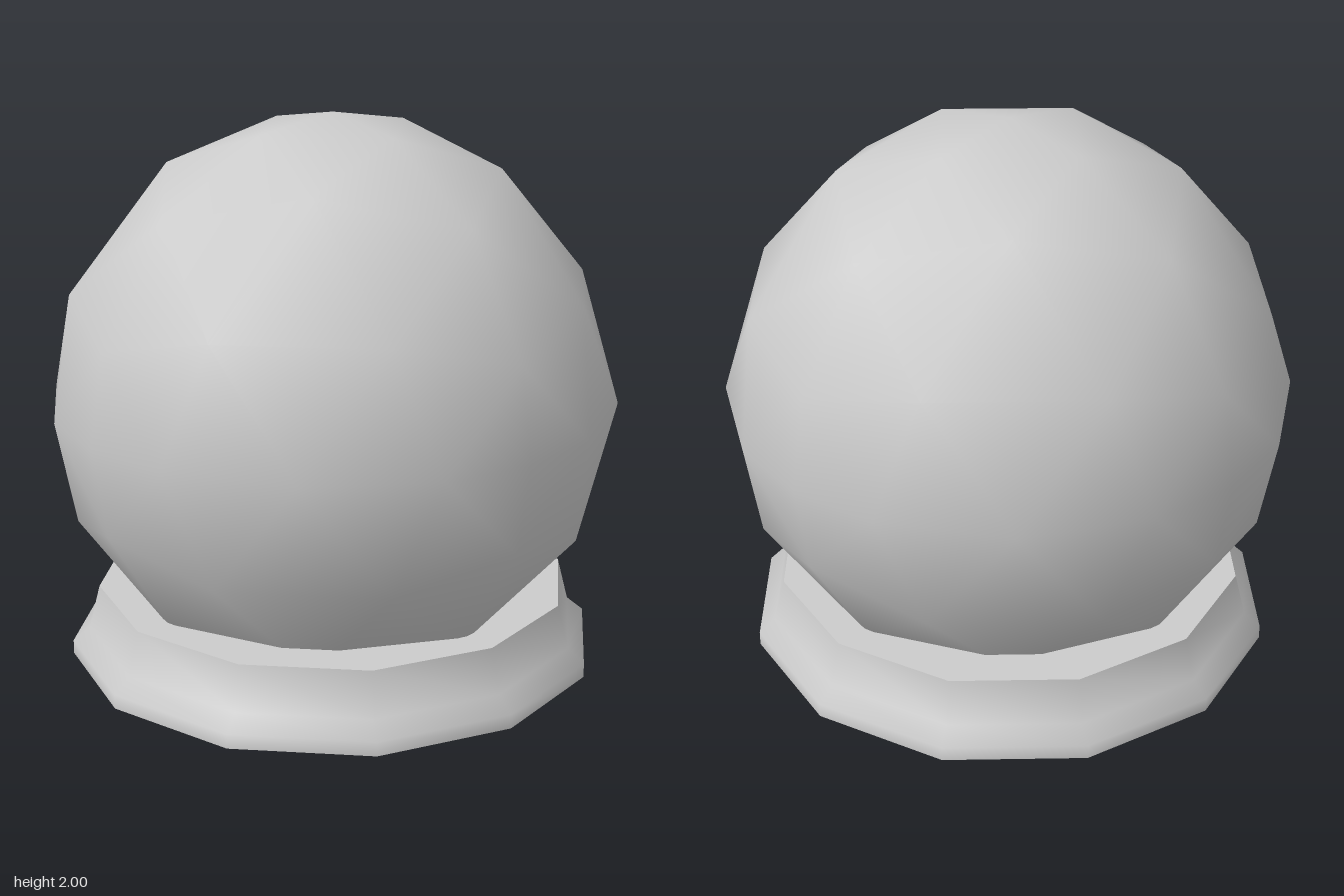
import * as THREE from 'three';
import { toCreasedNormals } from 'three/addons/utils/BufferGeometryUtils.js';

export function createModel() {
  const group = new THREE.Group();
  group.name = 'globeOnStand';
  const material = new THREE.MeshStandardMaterial({ color: 0xcccccc });

  // Low-poly globe: an octahedron with each edge split in four, shaded smooth
  const globe = new THREE.Mesh(new THREE.OctahedronGeometry(1, 3), material);
  globe.name = 'globe';
  globe.position.y = 1;
  group.add(globe);

  // Twelve-sided stand with a flared foot; the globe pokes out underneath
  const profile = [
    [0, 0.065], [0.945, 0.065], [0.945, 0.115],
    [0.885, 0.165], [0.845, 0.32], [0, 0.32],
  ].map(([r, y]) => new THREE.Vector2(r, y));
  const stand = new THREE.Mesh(
    toCreasedNormals(new THREE.LatheGeometry(profile, 12), 1.0),
    material
  );
  stand.name = 'stand';
  group.add(stand);

  return group;
}
